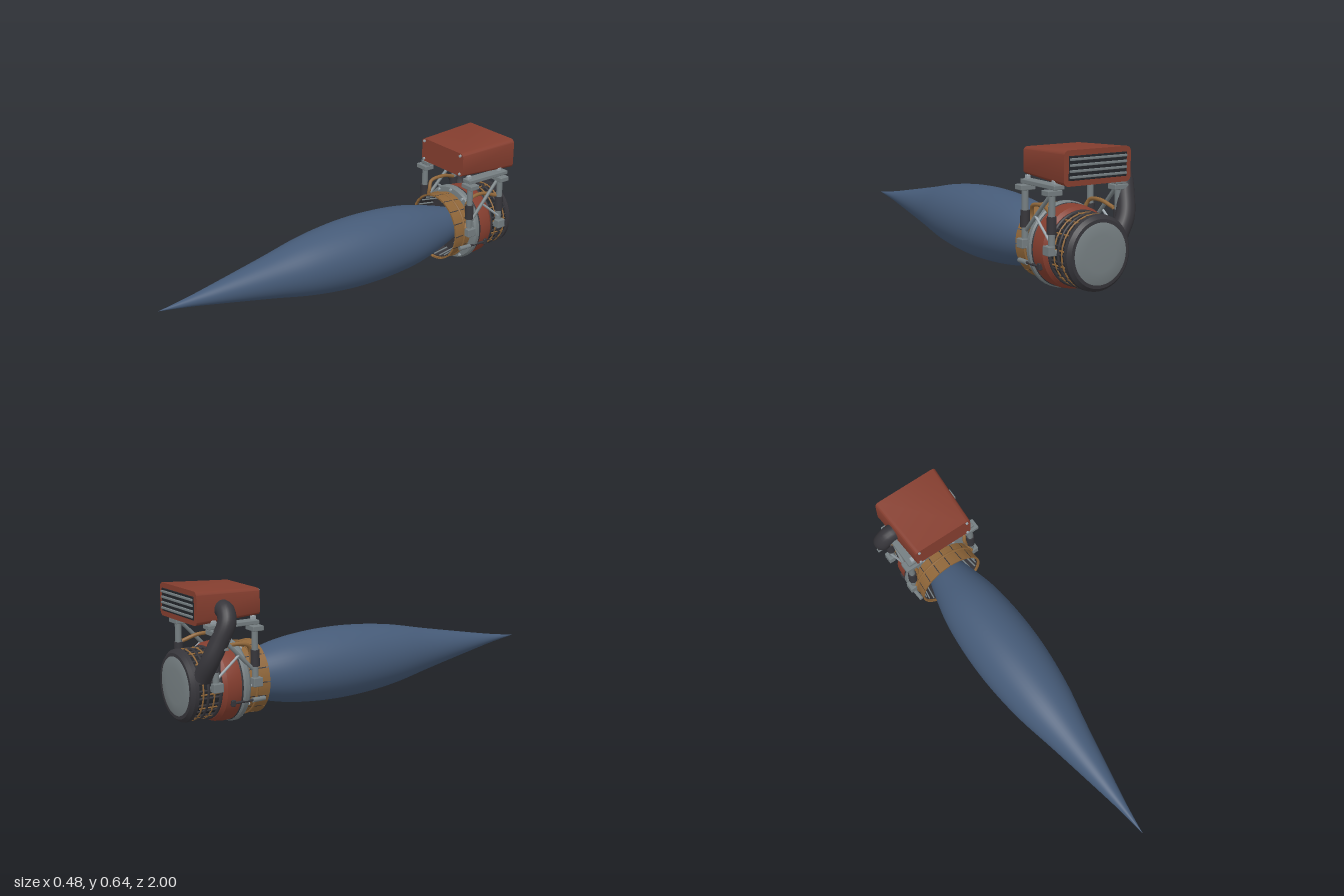
import * as THREE from 'three';
import { toCreasedNormals } from 'three/addons/utils/BufferGeometryUtils.js';
import { RoundedBoxGeometry } from 'three/addons/geometries/RoundedBoxGeometry.js';

const material = (name, color) => {
  const m = new THREE.MeshStandardMaterial({ color, side: THREE.DoubleSide });
  m.name = name;
  return m;
};
const V = (x, y, z) => new THREE.Vector3(x, y, z);

export function createModel() {
  const blue = material('exhaust blue', 0x465b78);
  const red = material('housing red', 0x853e2f);
  const steel = material('steel', 0x757e81);
  const silver = material('bright bolt', 0x9aa4aa);
  const dark = material('dark rubber', 0x36353a);
  const black = material('recess black', 0x22252a);
  const bronze = material('bronze', 0x8f6639);

  const model = new THREE.Group();
  model.name = 'jetEngine';
  const CX = 0.025, CY = 0.195;
  const engine = new THREE.Group();
  engine.name = 'engine';
  engine.position.set(CX, CY, 0);
  model.add(engine);

  const add = (parent, name, geometry, mat, x = 0, y = 0, z = 0) => {
    const mesh = new THREE.Mesh(geometry, mat);
    mesh.name = name;
    mesh.position.set(x, y, z);
    parent.add(mesh);
    return mesh;
  };
  // Profile of [radius, z] pairs, turned about the engine axis
  const turned = (name, profile, mat, segments = 48, start = 0, length = Math.PI * 2) => {
    const points = profile.map(([r, z]) => new THREE.Vector2(r, z));
    const lathe = new THREE.LatheGeometry(points, segments, start, length).rotateX(Math.PI / 2);
    return add(engine, name, toCreasedNormals(lathe, 0.5), mat);
  };
  const block = (name, mat, w, h, d, x, y, z, radius = 0.004) =>
    add(model, name, new RoundedBoxGeometry(w, h, d, 1, radius), mat, x, y, z);
  const rod = (parent, name, mat, a, b, r, sides = 12) => {
    const mesh = add(parent, name, new THREE.CylinderGeometry(r, r, a.distanceTo(b), sides), mat);
    mesh.position.copy(a).lerp(b, 0.5);
    mesh.quaternion.setFromUnitVectors(V(0, 1, 0), b.clone().sub(a).normalize());
    return mesh;
  };
  const hose = (parent, name, mat, points, r, sides = 10) =>
    add(parent, name, new THREE.TubeGeometry(new THREE.CatmullRomCurve3(points), 36, r, sides), mat);
  const around = (count, place) => {
    for (let i = 0; i < count; i++) place((i / count) * Math.PI * 2);
  };
  const polar = (a, r, z) => V(Math.cos(a) * r, Math.sin(a) * r, z);

  // Exhaust plume, a smooth spindle
  const plume = new THREE.SplineCurve([
    [0.085, -0.69], [0.113, -0.6], [0.15, -0.45], [0.168, -0.3], [0.174, -0.14], [0.167, 0.02],
    [0.145, 0.2], [0.105, 0.4], [0.067, 0.6], [0.03, 0.8], [0.014, 0.9], [0, 1],
  ].map(([r, z]) => new THREE.Vector2(r, z)));
  add(engine, 'exhaustPlume',
    new THREE.LatheGeometry(plume.getPoints(60), 48).rotateX(Math.PI / 2), blue);

  // Nozzle: overlapping petals, liner with ribs, and hoop
  around(16, (a) => turned('nozzlePetal',
    [[0.162, -0.71], [0.172, -0.605], [0.163, -0.605], [0.153, -0.71]], bronze, 3, a, 0.365));
  turned('nozzleLiner', [[0, -0.705], [0.145, -0.7], [0.158, -0.615], [0.164, -0.615], [0.157, -0.71]], dark);
  around(24, (a) => rod(engine, 'linerRib', steel, polar(a, 0.142, -0.7), polar(a, 0.155, -0.615), 0.004, 6));
  add(engine, 'nozzleHoop', new THREE.TorusGeometry(0.166, 0.006, 8, 48), bronze, 0, 0, -0.668);

  // Front flange with its bolts
  turned('frontFlange', [[0.15, -0.75], [0.186, -0.75], [0.193, -0.743], [0.193, -0.725],
    [0.186, -0.715], [0.165, -0.712], [0.15, -0.712]], steel);
  around(12, (a) => rod(engine, 'flangeBolt', silver, polar(a, 0.178, -0.72), polar(a, 0.178, -0.706), 0.007, 8));

  // Red casing and the rear ribbed drum
  turned('casing', [[0.155, -0.848], [0.168, -0.845], [0.181, -0.828], [0.186, -0.79],
    [0.184, -0.752], [0.16, -0.745]], red);
  add(engine, 'casingSeam', new THREE.TorusGeometry(0.182, 0.005, 8, 48), dark, 0, 0, -0.755);
  turned('rearDrum', [[0.15, -0.975], [0.156, -0.97], [0.156, -0.85], [0.16, -0.84]], black);
  around(28, (a) => rod(engine, 'drumRib', dark, polar(a, 0.157, -0.965), polar(a, 0.157, -0.85), 0.006, 6));
  around(14, (a) => rod(engine, 'drumPipe', bronze, polar(a + 0.11, 0.158, -0.95), polar(a + 0.11, 0.158, -0.86), 0.004, 6));
  [[-0.852, dark, 0.008], [-0.885, bronze, 0.004], [-0.915, dark, 0.006], [-0.94, bronze, 0.004]]
    .forEach(([z, mat, r]) => add(engine, 'drumHoop', new THREE.TorusGeometry(0.161, r, 8, 48), mat, 0, 0, z));
  turned('rearRim', [[0.135, -0.996], [0.15, -0.995], [0.165, -0.98], [0.167, -0.962], [0.155, -0.958]], dark);
  turned('rearCap', [[0, -1], [0.08, -0.999], [0.13, -0.996], [0.147, -0.988], [0.15, -0.975]], steel);

  // Upper housing: rounded box that narrows towards the front
  const W = 0.174, H = 0.076, R = 0.024, Z0 = -0.97, DEPTH = 0.325;
  const outline = new THREE.Shape();
  outline.absarc(W - R, H - R, R, 0, Math.PI / 2);
  outline.absarc(R - W, H - R, R, Math.PI / 2, Math.PI);
  outline.absarc(R - W, R - H, R, Math.PI, Math.PI * 1.5);
  outline.absarc(W - R, R - H, R, Math.PI * 1.5, Math.PI * 2);
  const shell = new THREE.ExtrudeGeometry(outline, { depth: DEPTH, bevelEnabled: false, curveSegments: 6 });
  const p = shell.attributes.position;
  for (let i = 0; i < p.count; i++) {
    const t = p.getZ(i) / DEPTH;
    p.setXY(i, p.getX(i) * (1 - 0.095 * t), p.getY(i) * (1 - 0.21 * t));
  }
  add(model, 'housing', toCreasedNormals(shell, 0.5), red, 0.026, 0.566, Z0);
  for (const x of [-0.112, 0.163]) for (const y of [0.519, 0.614])
    rod(model, 'housingBolt', silver, V(x, y, -0.65), V(x, y, -0.638), 0.007, 8);

  // Rear grille
  block('grilleRecess', black, 0.3, 0.104, 0.006, 0.026, 0.566, -0.971, 0.002);
  for (let i = 0; i < 4; i++)
    block('grilleSlat', steel, 0.296, 0.011, 0.012, 0.026, 0.5285 + i * 0.025, -0.975, 0.003);

  // Intake duct from housing to drum, with clips
  hose(model, 'intakeDuct', dark, [V(-0.11, 0.553, -0.84), V(-0.165, 0.55, -0.84), V(-0.197, 0.505, -0.85),
    V(-0.187, 0.42, -0.885), V(-0.162, 0.33, -0.92), V(-0.115, 0.25, -0.935)], 0.042, 20);
  block('ductClip', steel, 0.03, 0.01, 0.02, -0.213, 0.39, -0.87, 0.002);
  block('ductClip', dark, 0.024, 0.01, 0.02, -0.217, 0.43, -0.86, 0.002);

  // Mounting struts, rails, braces and hoses on both sides
  for (const s of [-1, 1]) {
    const x = (d) => CX + s * d;
    for (const z of [-0.685, -0.885]) {
      rod(model, 'strut', steel, V(x(0.175), 0.21, z), V(x(0.175), 0.45, z), 0.015, 16);
      rod(model, 'strutSleeve', dark, V(x(0.175), 0.28, z), V(x(0.175), 0.355, z), 0.021, 16);
      block('strutTop', steel, 0.074, 0.024, 0.055, x(0.175), 0.456, z);
      block('strutFoot', steel, 0.034, 0.042, 0.048, x(0.188), 0.21, z);
      block('strutBracket', steel, 0.05, 0.025, 0.04, x(0.165), 0.2, z);
      block('housingFoot', silver, 0.018, 0.02, 0.025, x(0.162), 0.498, z);
    }
    block('rail', steel, 0.055, 0.02, 0.255, x(0.163), 0.481, -0.795);
    rod(model, 'brace', steel, V(x(0.178), 0.27, -0.7), V(x(0.17), 0.445, -0.87), 0.009);
    rod(model, 'braceLower', silver, V(x(0.182), 0.25, -0.88), V(x(0.178), 0.34, -0.77), 0.006);
    hose(model, 'fuelHose', bronze, [V(x(0.165), 0.36, -0.87), V(x(0.152), 0.385, -0.79), V(x(0.153), 0.375, -0.71),
      V(x(0.143), 0.335, -0.69), V(x(0.157), 0.28, -0.69), V(x(0.168), 0.23, -0.67)], 0.009);
    // Nozzle actuator low on the side
    rod(model, 'actuatorRod', dark, V(x(0.178), 0.125, -0.81), V(x(0.172), 0.125, -0.64), 0.006);
    rod(model, 'actuatorBody', steel, V(x(0.174), 0.125, -0.7), V(x(0.17), 0.125, -0.635), 0.011);
    block('actuatorMount', dark, 0.02, 0.03, 0.02, x(0.175), 0.125, -0.8);
  }
  return model;
}
